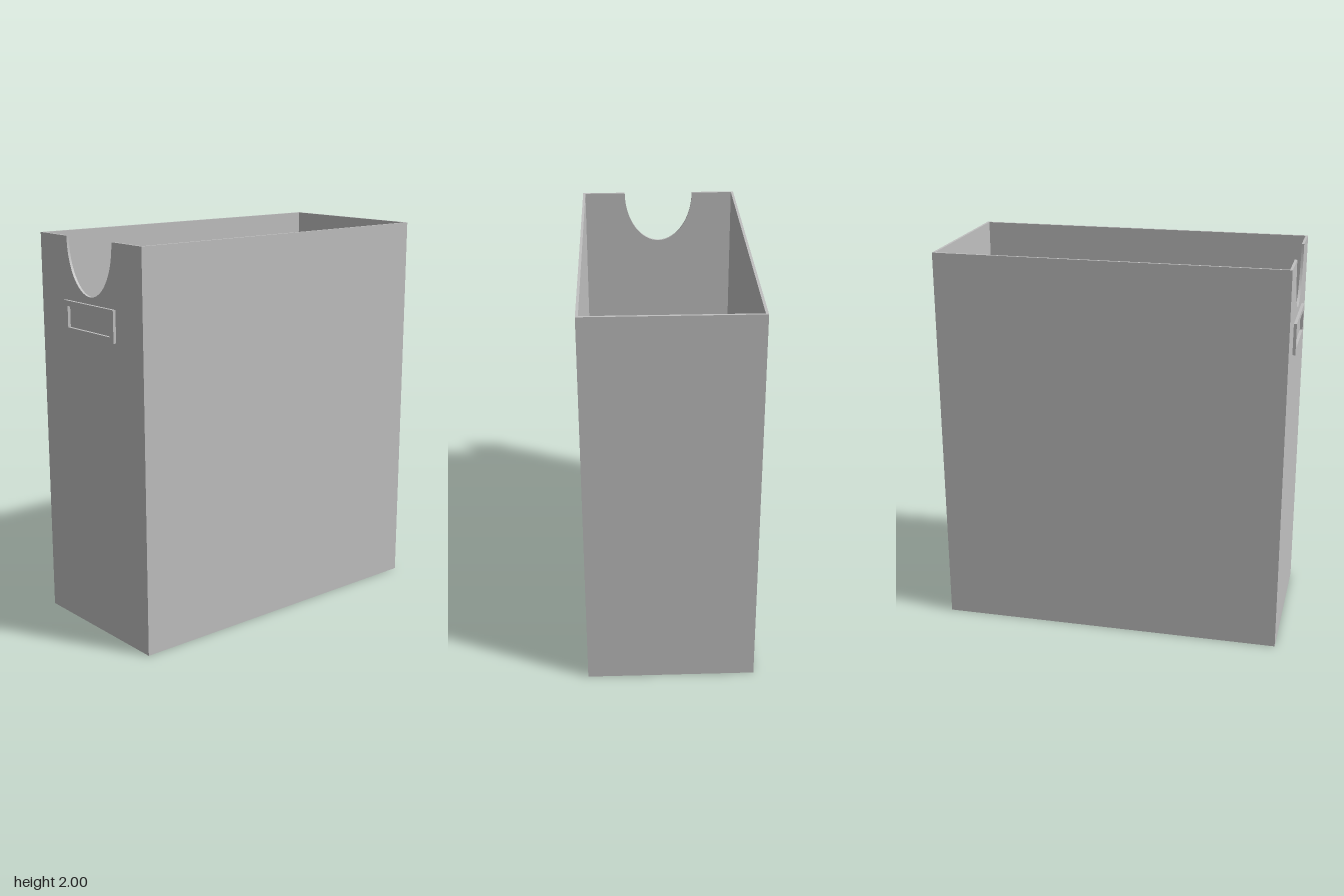
import * as THREE from 'three';

const W = 0.425, BACK = -0.9, FRONT = 0.885, H = 2, T = 0.013;

export function createModel() {
  const group = new THREE.Group();
  const grey = new THREE.MeshStandardMaterial({ color: 0xc0c0c0 });
  grey.name = 'grey';

  const add = (name, geometry, x, y, z) => {
    const mesh = new THREE.Mesh(geometry, grey);
    mesh.name = name;
    mesh.position.set(x, y, z);
    group.add(mesh);
  };
  const extrude = (shape, depth) =>
    new THREE.ExtrudeGeometry(shape, { depth, bevelEnabled: false, curveSegments: 40 });
  const rectangle = (Type, w, h) => new Type([
    new THREE.Vector2(-w, -h), new THREE.Vector2(w, -h),
    new THREE.Vector2(w, h), new THREE.Vector2(-w, h),
  ]);

  // Floor, back and side panels of the open box
  const midZ = (FRONT + BACK) / 2, innerDepth = FRONT - BACK - 2 * T;
  add('floor', new THREE.BoxGeometry(2 * (W - T), T, innerDepth), 0, T / 2, midZ);
  add('backPanel', new THREE.BoxGeometry(2 * W, H, T), 0, H / 2, BACK + T / 2);
  for (const side of [-1, 1]) {
    add(side > 0 ? 'leftPanel' : 'rightPanel',
      new THREE.BoxGeometry(T, H, innerDepth), side * (W - T / 2), H / 2, midZ);
  }

  // Front panel with the half-oval finger cutout
  const front = new THREE.Shape();
  front.moveTo(-W, 0);
  front.lineTo(W, 0);
  front.lineTo(W, H);
  front.lineTo(0.19, H);
  front.absellipse(0, H, 0.19, 0.28, 0, Math.PI, true);
  front.lineTo(-W, H);
  front.closePath();
  add('frontPanel', extrude(front, T), 0, 0, FRONT - T);

  // Raised label frame with an open window
  const frame = rectangle(THREE.Shape, 0.21, 0.08);
  frame.holes.push(rectangle(THREE.Path, 0.177, 0.053));
  add('labelFrame', extrude(frame, 0.9 - FRONT), 0, 1.605, FRONT);

  return group;
}
